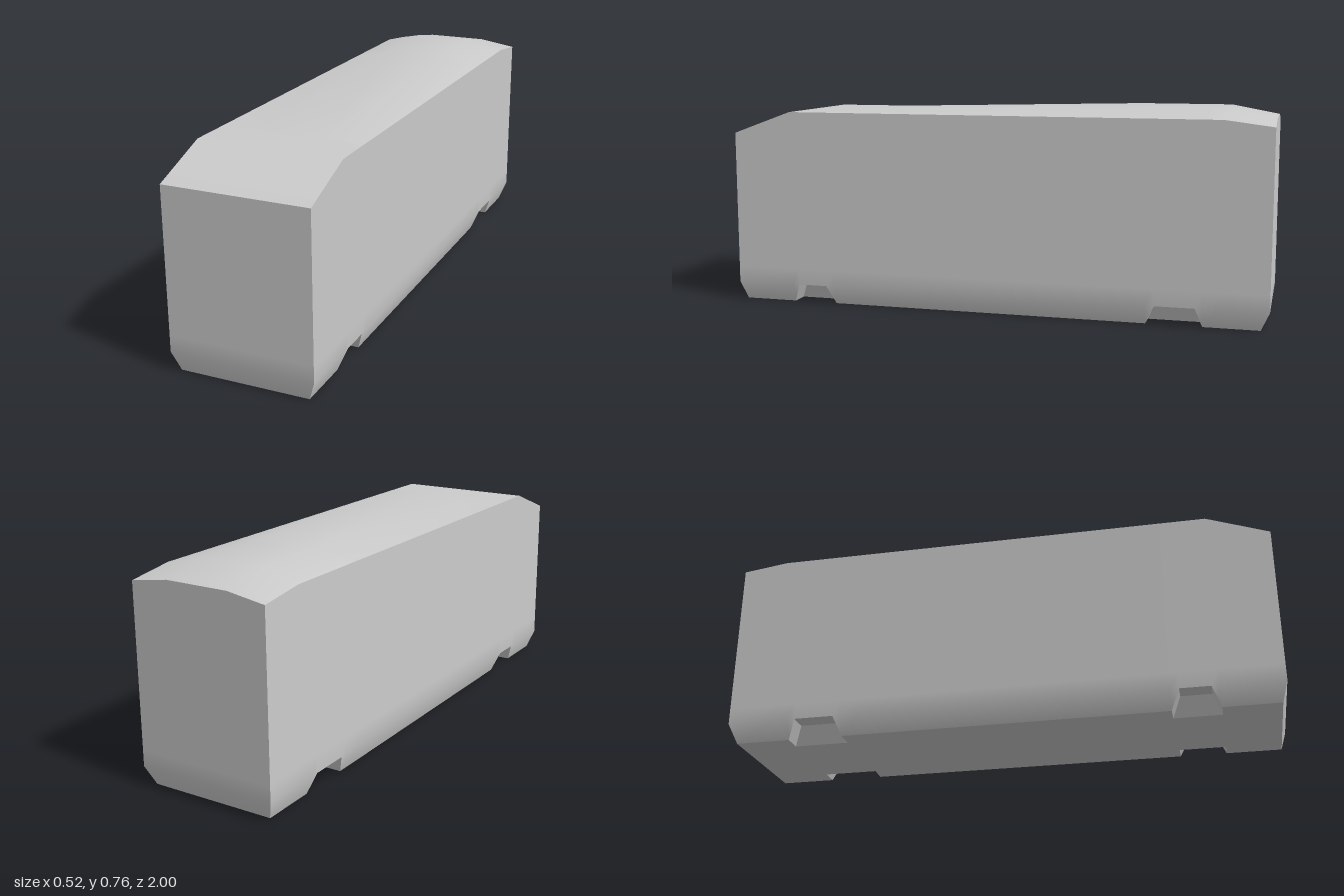
import * as THREE from 'three';
import { toCreasedNormals } from 'three/addons/utils/BufferGeometryUtils.js';

const W = 0.258;      // half width of the walls
const SKIRT = 0.07;   // height of the lower bevel and of the notches
const LOOP = 0.13;    // support loop that keeps the bevel shading low

// Piecewise linear lookup in [z, y] pairs, z descending
function lerpAt(points, z) {
  for (let i = 1; i < points.length; i++) {
    const [z0, y0] = points[i - 1], [z1, y1] = points[i];
    if (z >= z1) return y0 + (y1 - y0) * (z0 - z) / (z0 - z1);
  }
  return points[points.length - 1][1];
}

// Roof heights along the body, at the walls and on the crown
const eave = [[1, 0.645], [0.775, 0.727], [-0.83, 0.727], [-1, 0.705]];
const crown = [[1, 0.645], [0.775, 0.727], [-0.5, 0.759], [-0.83, 0.759], [-1, 0.727]];

// Stations along z with the shape of their lower edge
const stations = [
  [1, 'end'], [0.98, 'plain'], [0.78, 'plain'], [0.775, 'start', 1 / 6], [0.75, 'notch'], [0.64, 'notch'], [0.61, 'plain'],
  [-0.5, 'plain'], [-0.57, 'plain'], [-0.6, 'notch'], [-0.745, 'notch'], [-0.77, 'plain'],
  [-0.83, 'plain'], [-0.97, 'plain'], [-1, 'end'],
];

// Lower edge of the left half: notch wall foot, notch wall top, outer lip, bevel top
function lowerEdge(kind, t = 0) {
  if (kind === 'end') return [[0.162, SKIRT], [0.162, SKIRT], [W, SKIRT], [W, SKIRT]];
  if (kind === 'notch') t = 1;
  return [
    [0.162, 0],
    [0.162 + 0.025 * t, SKIRT * t],
    [0.232 + (W - 0.232) * t, SKIRT * t],
    [W, SKIRT],
  ];
}

// Closed cross-section, running up the left side and down the right
function section([z, kind, t]) {
  const half = [...lowerEdge(kind, t), [W, LOOP], [W, lerpAt(eave, z)], [0.117, lerpAt(crown, z)]];
  const mirrored = half.map(([x, y]) => [-x, y]).reverse();
  return [...half, ...mirrored].map(([x, y]) => new THREE.Vector3(x, y, z));
}

function bodyGeometry() {
  const positions = [];
  const tri = (a, b, c) => {
    const area = b.clone().sub(a).cross(c.clone().sub(a)).length();
    if (area > 1e-7) for (const p of [a, b, c]) positions.push(p.x, p.y, p.z);
  };
  const quad = (a, b, c, d) => { tri(a, b, c); tri(a, c, d); };

  // Skin between neighbouring sections
  const rings = stations.map(section);
  for (let k = 0; k < rings.length - 1; k++) {
    const f = rings[k], r = rings[k + 1], n = f.length;
    for (let i = 0; i < n; i++) {
      const j = (i + 1) % n;
      quad(f[i], r[i], r[j], f[j]);
    }
  }

  // Flat end walls
  for (const z of [1, -1]) {
    const row = (inner, yInner, yOuter) => [-W, -inner, inner, W].map((x, i) =>
      new THREE.Vector3(x, i === 0 || i === 3 ? yOuter : yInner, z));
    const rows = [
      row(0.162, SKIRT, SKIRT),
      row(0.162, LOOP, LOOP),
      row(0.117, lerpAt(crown, z), lerpAt(eave, z)),
    ];
    for (let j = 0; j < 2; j++) for (let c = 0; c < 3; c++) {
      const q = [rows[j][c], rows[j][c + 1], rows[j + 1][c + 1], rows[j + 1][c]];
      quad(...(z > 0 ? q : q.reverse()));
    }
  }

  const geometry = new THREE.BufferGeometry();
  geometry.setAttribute('position', new THREE.Float32BufferAttribute(positions, 3));
  return toCreasedNormals(geometry, 0.6);
}

export function createModel() {
  const group = new THREE.Group();
  group.name = 'vanShell';
  const body = new THREE.Mesh(bodyGeometry(), new THREE.MeshStandardMaterial({ color: 0xcccccc }));
  body.name = 'body';
  group.add(body);
  return group;
}
